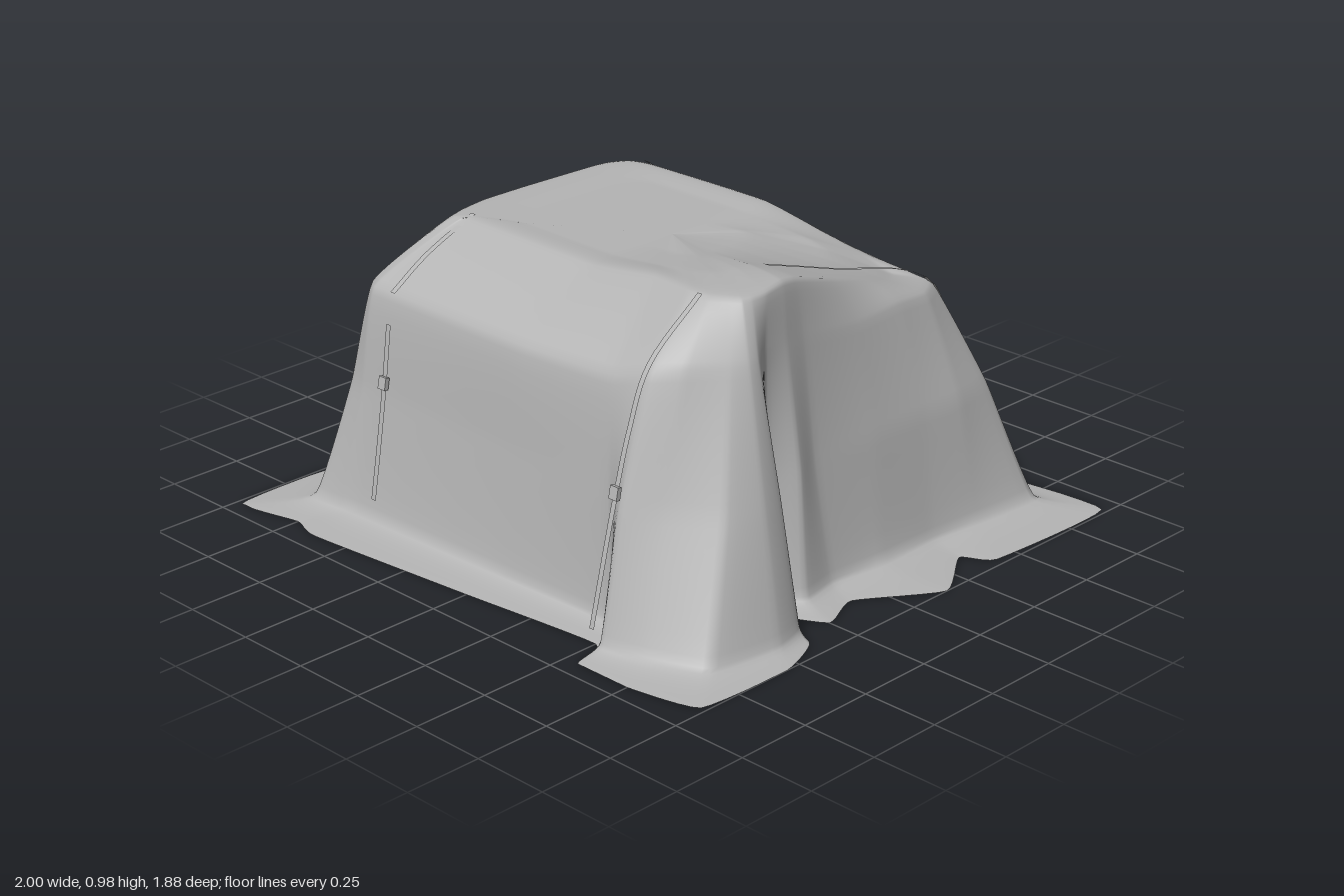
import * as THREE from 'three';

const cloth = new THREE.MeshStandardMaterial({ color: 0xb4b4b4, side: THREE.DoubleSide });
cloth.name = 'grey cloth';

// Plan outlines [x, z] of the draped sheet, from ground to roof edge.
// All start at the front left, run along the front, then right side, back and left side.
const hem = [[-.63, .93], [0, .87], [.5, .82], [.55, .94], [.75, .94], [.98, .88], [1, .55], [.93, .38], [.7, .36], [.89, .25],
  [.84, .1], [1, -.15], [.88, -.35], [.97, -.42], [.98, -.93], [.6, -.91], [0, -.88], [-.62, -.83], [-.8, -.72], [-.86, -.62],
  [-1, -.51], [-.9, -.47], [-.92, 0], [-.93, .25], [-1, .34], [-.88, .43], [-.99, .6], [-.98, .94], [-.75, .9]];
const foot = [[-.62, .76], [0, .74], [.47, .73], [.55, .85], [.7, .82], [.88, .74], [.92, .5], [.88, .37], [.68, .33], [.77, .22],
  [.75, .08], [.77, -.12], [.77, -.35], [.79, -.55], [.8, -.81], [.55, -.79], [0, -.74], [-.6, -.72], [-.74, -.69], [-.82, -.6],
  [-.85, -.51], [-.82, -.4], [-.81, 0], [-.82, .22], [-.86, .33], [-.8, .43], [-.86, .6], [-.82, .77], [-.71, .77]];
const middle = [[-.6, .69], [0, .69], [.42, .69], [.53, .75], [.64, .68], [.78, .58], [.82, .46], [.8, .37], [.67, .3], [.72, .2],
  [.69, .1], [.7, -.15], [.7, -.38], [.7, -.55], [.66, -.72], [.5, -.72], [0, -.69], [-.58, -.69], [-.7, -.66], [-.75, -.6],
  [-.79, -.5], [-.77, -.38], [-.77, 0], [-.78, .2], [-.79, .34], [-.76, .45], [-.79, .55], [-.74, .67], [-.67, .69]];
const rim = [[-.58, .64], [0, .65], [.38, .64], [.52, .62], [.6, .56], [.68, .46], [.71, .41], [.71, .37], [.67, .3], [.66, .2],
  [.64, .1], [.62, -.15], [.59, -.38], [.56, -.54], [.5, -.64], [.4, -.65], [0, -.65], [-.58, -.65], [-.67, -.62], [-.71, -.57],
  [-.73, -.48], [-.74, -.35], [-.74, 0], [-.74, .2], [-.73, .33], [-.72, .45], [-.72, .54], [-.69, .61], [-.65, .64]];
const roofEdge = [[-.52, .35], [0, .36], [.3, .38], [.48, .42], [.55, .41], [.6, .38], [.63, .36], [.64, .33], [.64, .27], [.62, .18],
  [.6, .1], [.55, -.12], [.5, -.33], [.46, -.46], [.4, -.55], [.3, -.52], [0, -.42], [-.5, -.42], [-.58, -.4], [-.6, -.38],
  [-.62, -.34], [-.63, -.28], [-.64, 0], [-.64, .18], [-.63, .25], [-.62, .3], [-.61, .33], [-.59, .36], [-.56, .36]];

const { smoothstep: step, lerp, clamp } = THREE.MathUtils;

// The roof is level on the left; on the right it peaks in front and slopes down to the back.
const roofHeight = (x, z) => lerp(.92, .98 - .34 * Math.max(0, .15 - z), step(x, 0, .46));
const rimHeight = (x, z) => .75 + .06 * step(x, .3, .6) * step(z, -.2, .3) - .03 * step(-z, .3, .6);

function loop(outline, height, scale = 1) {
  const points = outline.map(([x, z]) =>
    new THREE.Vector3(x * scale, height(x * scale, z * scale), z * scale));
  return new THREE.CatmullRomCurve3(points, true, 'catmullrom', .22);
}

function drapedSheet() {
  const around = 29 * 6, up = 49;
  const loops = [
    loop(hem, () => .008), loop(foot, () => .04), loop(middle, () => .42),
    loop(rim, rimHeight), loop(roofEdge, roofHeight),
    loop(roofEdge, roofHeight, .7), loop(roofEdge, roofHeight, .35), loop(roofEdge, roofHeight, 0),
  ];
  const positions = new Float32Array(around * (up + 1) * 3), index = [];
  for (let i = 0; i < around; i++) {
    const column = new THREE.CatmullRomCurve3(loops.map(l => l.getPoint(i / around)), false, 'catmullrom', .2);
    const next = (i + 1) % around;
    for (let j = 0; j <= up; j++) {
      const p = column.getPoint(j / up);
      const v = j * around + i;
      positions.set([clamp(p.x, -1, 1), Math.max(p.y, 0), clamp(p.z, -.94, .94)], v * 3);
      if (j === up) continue;
      const a = v, b = j * around + next, c = b + around, d = a + around;
      index.push(a, b, c, a, c, d);
    }
  }
  const geometry = new THREE.BufferGeometry();
  geometry.setAttribute('position', new THREE.BufferAttribute(positions, 3));
  geometry.setIndex(index);
  geometry.computeVertexNormals();
  return geometry;
}

// A flat ribbon across x, following [y, z] points.
function ribbon(x, width, path) {
  const curve = new THREE.CatmullRomCurve3(path.map(([y, z]) => new THREE.Vector3(x, y, z)));
  const segments = path.length * 5;
  const geometry = new THREE.PlaneGeometry(width, 1, 1, segments);
  const position = geometry.attributes.position;
  for (let i = 0; i < position.count; i++) {
    const p = curve.getPoint(1 - Math.floor(i / 2) / segments);
    position.setXYZ(i, x + position.getX(i), p.y, p.z);
  }
  geometry.computeVertexNormals();
  return geometry;
}

export function createModel() {
  const model = new THREE.Group();
  model.name = 'coveredCrate';
  const add = (name, geometry) => {
    const mesh = new THREE.Mesh(geometry, cloth);
    mesh.name = name;
    model.add(mesh);
    return mesh;
  };

  add('drapedSheet', drapedSheet());

  // Hooked scrap of hem lying at the back left corner, drawn as [x, -z]
  const scrap = new THREE.Shape([[-.76, .7], [-.8, .82], [-.83, .88], [-.9, .93], [-.99, .91], [-.91, .88], [-.89, .84], [-.83, .72]]
    .map(([x, y]) => new THREE.Vector2(x, y)));
  add('cornerScrap', new THREE.ShapeGeometry(scrap).rotateX(-Math.PI / 2).translate(0, .012, 0));

  // Short straps lying on the sheet
  add('frontStrap', ribbon(-.55, .02, [[.1, .758], [.28, .727], [.45, .7], [.66, .672]]));
  add('frontRoofStrap', ribbon(-.545, .02, [[.76, .655], [.845, .52], [.93, .32]]));
  add('backRoofStrap', ribbon(-.525, .02, [[.93, -.41], [.835, -.55], [.73, -.665]]));

  // Long strap pulled taut over the whole load
  add('longStrapFront', ribbon(.525, .018, [[.08, .86], [.45, .765], [.65, .705], [.82, .63], [.985, .42]]));
  add('longStrapBack', ribbon(.5, .018, [[.985, .12], [.9, -.15], [.73, -.63], [.45, -.745], [.1, -.86]]));

  // Buckles
  for (const [x, z] of [[-.55, .7], [.525, .762]]) {
    const buckle = add('buckle', new THREE.BoxGeometry(.032, .04, .015));
    buckle.position.set(x, .475, z);
    buckle.rotation.x = -.2;
  }
  return model;
}
